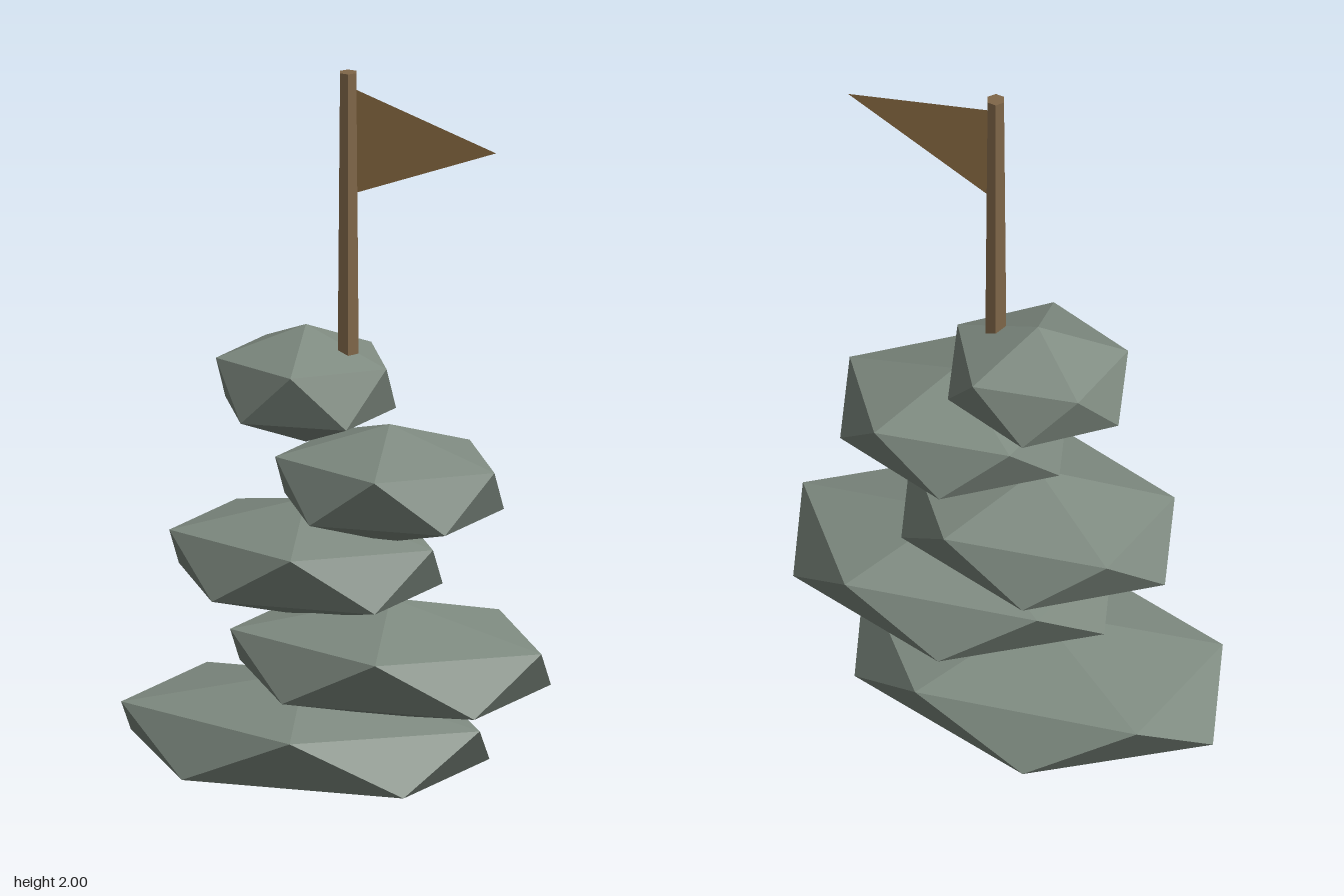
import * as THREE from 'three';
import { ConvexGeometry } from 'three/addons/geometries/ConvexGeometry.js';

// Faceted stone: two poles and two opposed five-point rings
function stoneGeometry(rx, ry, rz) {
  const points = [new THREE.Vector3(0, ry, 0), new THREE.Vector3(0, -ry, 0)];
  const h = 1 / Math.sqrt(5);
  for (let i = 0; i < 5; i++) {
    const a = (i * Math.PI * 2) / 5;
    const x = 2 * h * rx * Math.cos(a);
    const z = 2 * h * rz * Math.sin(a);
    points.push(new THREE.Vector3(x, h * ry, z), new THREE.Vector3(-x, -h * ry, -z));
  }
  return new ConvexGeometry(points);
}

export function createModel() {
  const stone = new THREE.MeshStandardMaterial({ color: 0x7f8b81, flatShading: true });
  stone.name = 'stoneGrey';
  const wood = new THREE.MeshStandardMaterial({ color: 0x806749, flatShading: true });
  wood.name = 'poleBrown';
  const cloth = new THREE.MeshStandardMaterial({ color: 0x9a784b, side: THREE.DoubleSide });
  cloth.name = 'flagTan';

  const model = new THREE.Group();
  model.name = 'flaggedCairn';
  const add = (name, geometry, material, x, y) => {
    const mesh = new THREE.Mesh(geometry, material);
    mesh.name = name;
    mesh.position.set(x, y, 0);
    model.add(mesh);
    return mesh;
  };

  // Stacked stones, alternating sideways: [x, rx, rz]
  const stones = [
    [-0.097, 0.6, 0.43],
    [0.165, 0.519, 0.383],
    [-0.095, 0.437, 0.339],
    [0.162, 0.361, 0.295],
    [-0.095, 0.277, 0.25],
  ];
  stones.forEach(([x, rx, rz], i) => {
    add(`stone${i + 1}`, stoneGeometry(rx, 0.162, rz), stone, x, 0.167 + i * 0.2395);
  });

  // Tapered six-sided pole
  const pole = add('pole', new THREE.CylinderGeometry(0.025, 0.032, 0.775, 6), wood, 0.035, 1.6125);
  pole.rotation.y = Math.PI / 6;

  // Pennant
  const pennant = new THREE.Shape([
    new THREE.Vector2(0, -0.145),
    new THREE.Vector2(0.44, 0.028),
    new THREE.Vector2(0, 0.145),
  ]);
  add('flag', new THREE.ShapeGeometry(pennant), cloth, 0.05, 1.812);

  return model;
}
